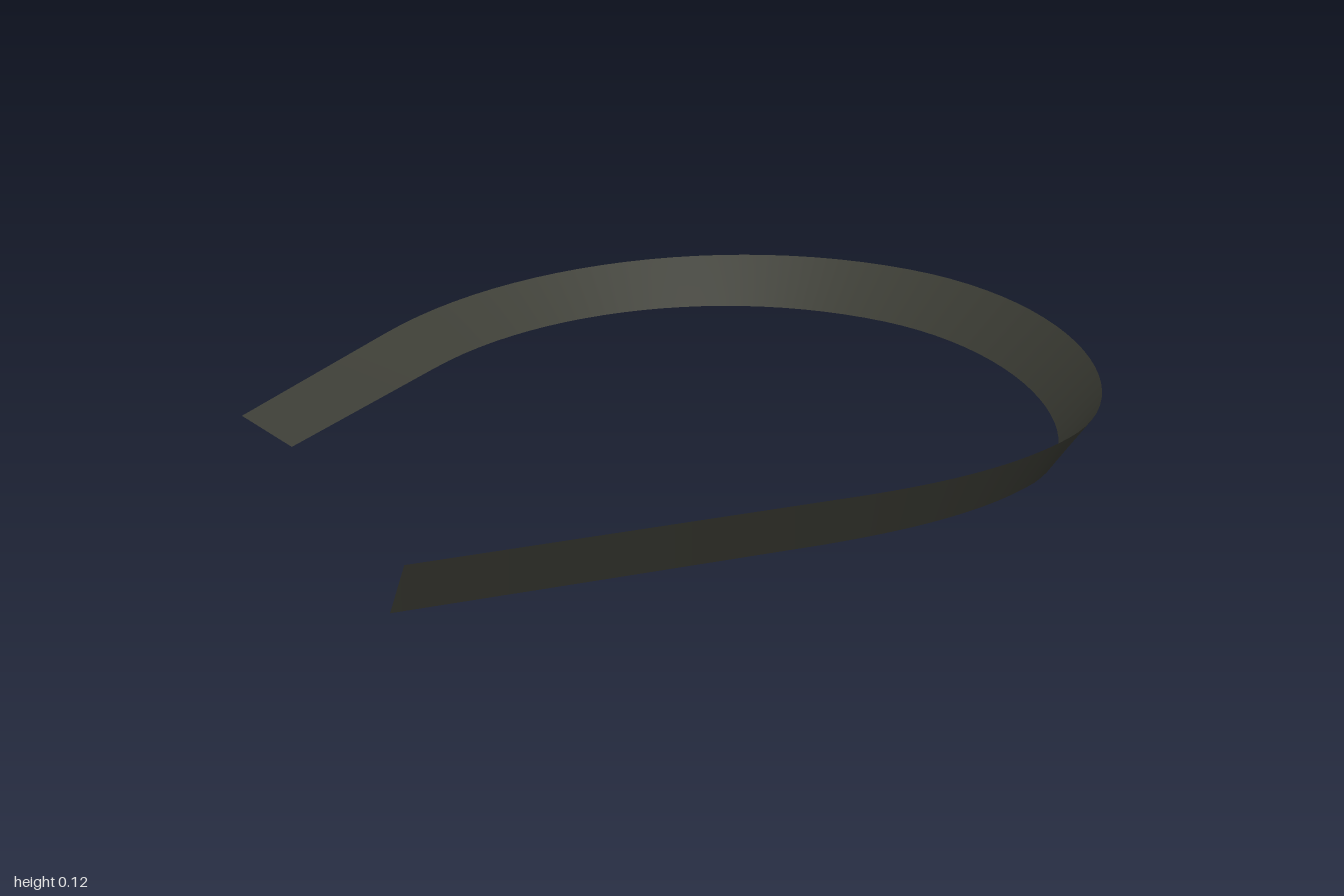
import * as THREE from 'three';

const v = (x, z) => new THREE.Vector2(x, z);

// Upper edge of the strap in plan: straight, three bends, straight
const plan = [
  new THREE.LineCurve(v(-0.74, 0.335), v(-0.74, -0.2)),
  new THREE.CubicBezierCurve(v(-0.74, -0.2), v(-0.74, -0.66), v(-0.45, -1), v(-0.04, -1)),
  new THREE.CubicBezierCurve(v(-0.04, -1), v(0.34, -1), v(0.735, -0.6), v(0.735, -0.3)),
  new THREE.CubicBezierCurve(v(0.735, -0.3), v(0.735, -0.08), v(0.64, 0.096), v(0.54, 0.24)),
  new THREE.LineCurve(v(0.54, 0.24), v(0.02, 0.995)),
];
// At each joint: inward reach of the lower edge, its height, height of the upper edge
const joints = [
  [0.112, 0.04, 0.083],
  [0.112, 0.037, 0.087],
  [0.098, 0.025, 0.101],
  [0.078, 0.008, 0.114],
  [0.069, 0.003, 0.118],
  [0.066, 0, 0.12],
];

function strapGeometry(steps) {
  const positions = [];
  const index = [];
  plan.forEach((curve, c) => {
    for (let i = c === 0 ? 0 : 1; i <= steps; i++) {
      const t = i / steps;
      const p = curve.getPoint(t);
      const d = curve.getTangent(t);
      const [reach, low, high] = joints[c].map((a, k) => THREE.MathUtils.lerp(a, joints[c + 1][k], t));
      positions.push(p.x, high, p.y);
      positions.push(p.x - d.y * reach, low, p.y + d.x * reach);
    }
  });
  for (let a = 0; a < positions.length / 3 - 2; a += 2) {
    index.push(a, a + 1, a + 2, a + 1, a + 3, a + 2);
  }
  const geometry = new THREE.BufferGeometry();
  geometry.setAttribute('position', new THREE.Float32BufferAttribute(positions, 3));
  geometry.setIndex(index);
  geometry.computeVertexNormals();
  return geometry;
}

export function createModel() {
  const group = new THREE.Group();
  group.name = 'curvedStrap';
  const material = new THREE.MeshStandardMaterial({ color: 0x3c3d35, side: THREE.DoubleSide });
  material.name = 'dark olive grey';
  // Twisting open band
  const strap = new THREE.Mesh(strapGeometry(24), material);
  strap.name = 'strap';
  group.add(strap);
  return group;
}
